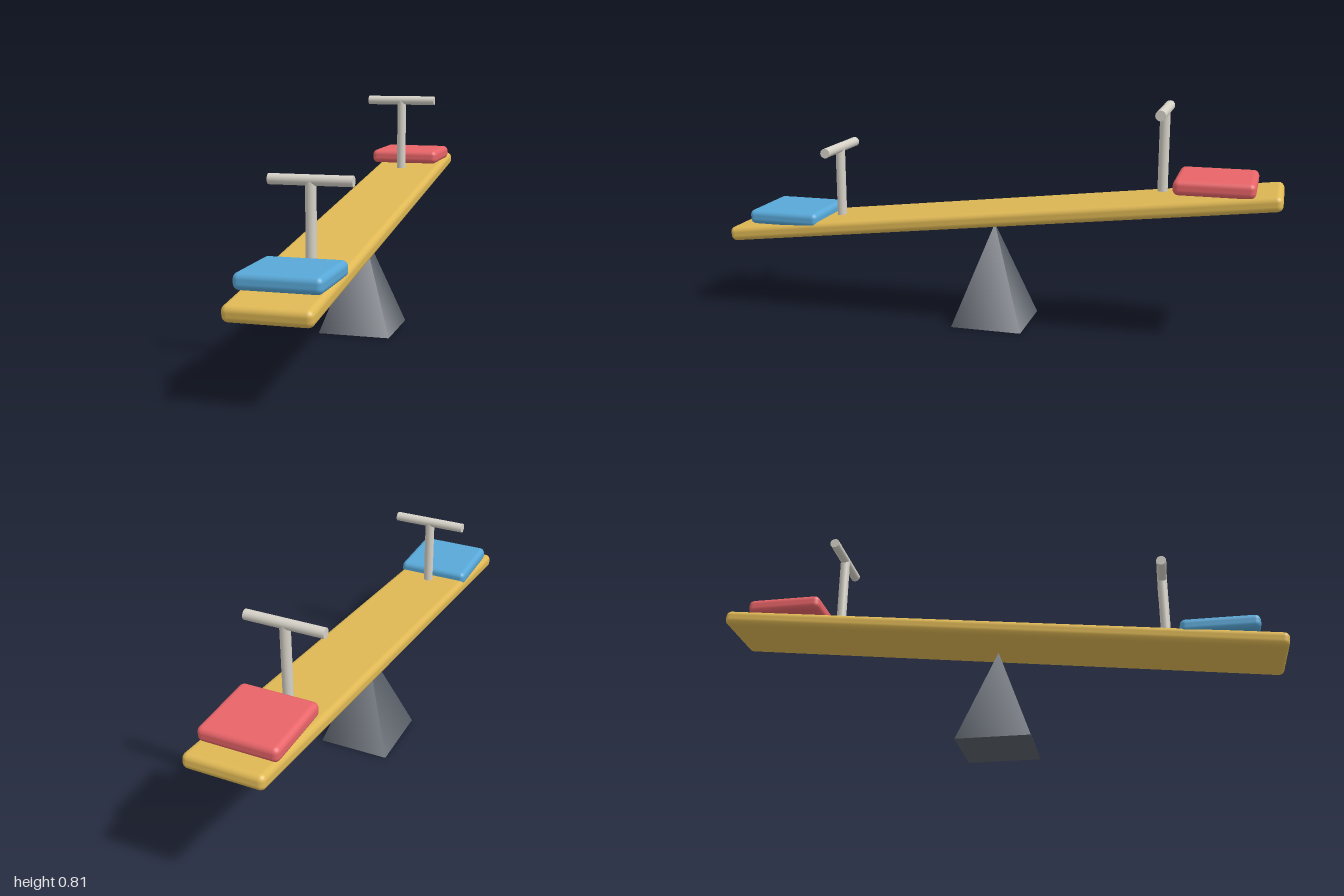
import * as THREE from 'three';
import { RoundedBoxGeometry } from 'three/addons/geometries/RoundedBoxGeometry.js';

const WIDTH = 0.272;
const material = (color) => new THREE.MeshStandardMaterial({ color });

function addPart(parent, name, geometry, mat, x, y, z) {
  const mesh = new THREE.Mesh(geometry, mat);
  mesh.name = name;
  mesh.position.set(x, y, z);
  parent.add(mesh);
  return mesh;
}

export function createModel() {
  const model = new THREE.Group();
  model.name = 'seesaw';
  const wood = material(0xe0b955);
  const steel = material(0xd6d2c8);
  const stone = material(0x5c626b);

  // Pyramid support under the middle of the plank
  const base = addPart(model, 'pivot', new THREE.ConeGeometry(0.129 * Math.SQRT2, 0.365, 4), stone, 0, 0.1825, 0);
  base.rotation.y = Math.PI / 4;

  // Tilted plank, low at the front
  const plank = addPart(model, 'plank', new RoundedBoxGeometry(WIDTH, 0.053, 2.013, 4, 0.02), wood, 0, 0.405, 0);
  plank.rotation.x = 0.12;

  // Level seat and T-shaped handle at each end
  const ends = [
    { name: 'front', side: 1, seatY: 0.359, barY: 0.614, color: 0x58a8d8 },
    { name: 'back', side: -1, seatY: 0.56, barY: 0.797, color: 0xe86468 },
  ];
  const postHeight = 0.277;
  for (const { name, side, seatY, barY, color } of ends) {
    addPart(model, name + 'Seat', new RoundedBoxGeometry(WIDTH, 0.053, 0.27, 4, 0.02), material(color), 0, seatY, side * 0.778);

    const handle = new THREE.Group();
    handle.name = name + 'Handle';
    handle.position.set(0, barY, side * 0.597);
    addPart(handle, 'post', new THREE.CylinderGeometry(0.0175, 0.0175, postHeight, 20), steel, 0, -postHeight / 2, 0);
    const bar = addPart(handle, 'bar', new THREE.CylinderGeometry(0.0175, 0.0175, WIDTH, 20), steel, 0, 0, 0);
    bar.rotation.z = Math.PI / 2;
    model.add(handle);
  }
  return model;
}
